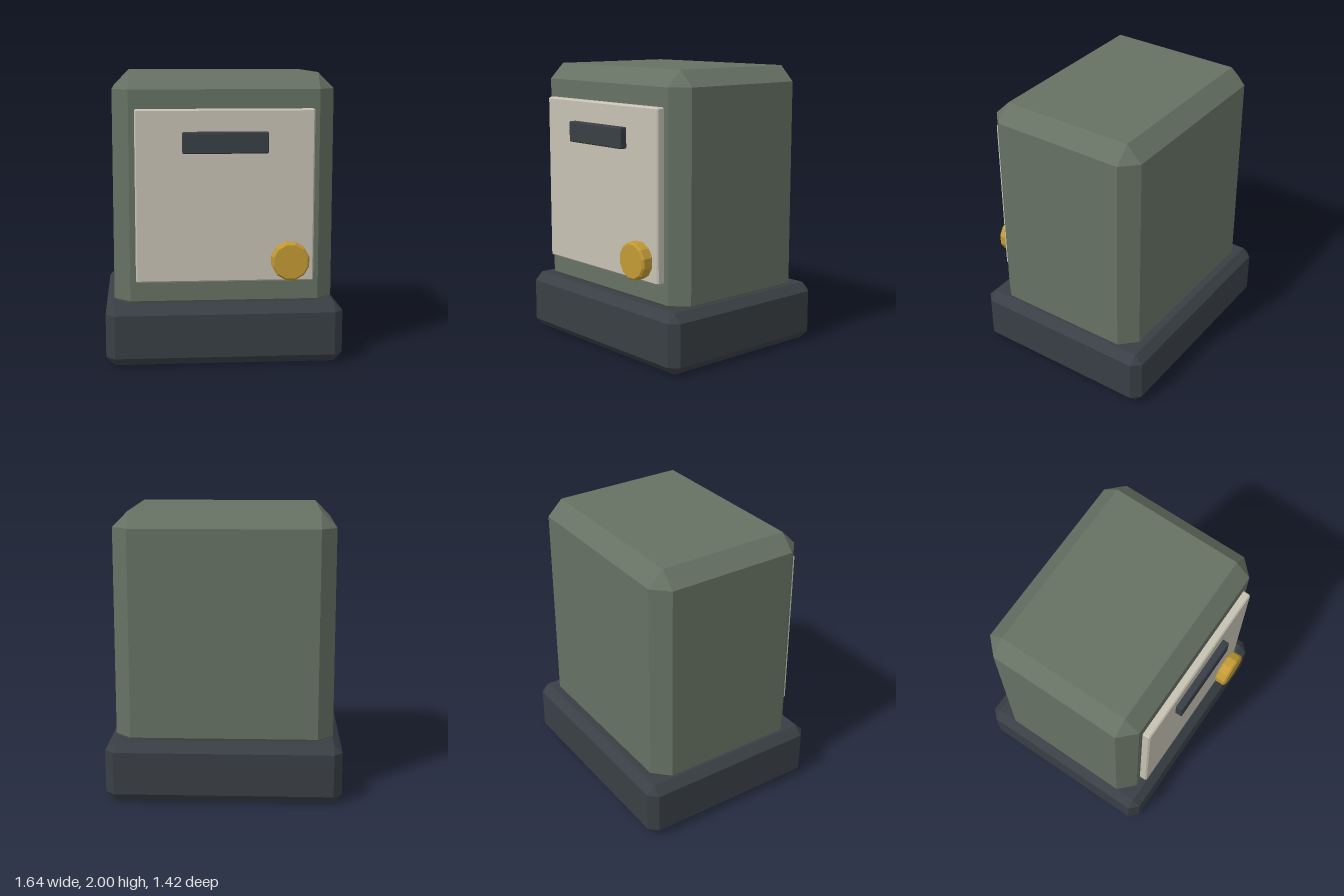
import * as THREE from 'three';
import { ConvexGeometry } from 'three/addons/geometries/ConvexGeometry.js';

const material = (color) => new THREE.MeshStandardMaterial({ color, flatShading: true });
const green = material(0x667163);
const dark = material(0x393f45);
const cream = material(0xc6c1b3);
const brass = material(0xc29a35);

// Box between two corners with every edge cut by a flat chamfer
function chamferBox(name, min, max, bevel, mat) {
  const half = max.map((v, i) => (v - min[i]) / 2);
  const points = [];
  for (const sx of [-1, 1]) for (const sy of [-1, 1]) for (const sz of [-1, 1]) {
    const signs = [sx, sy, sz];
    for (let axis = 0; axis < 3; axis++) {
      points.push(new THREE.Vector3(...signs.map((s, i) => s * (half[i] - (i === axis ? 0 : bevel)))));
    }
  }
  const mesh = new THREE.Mesh(new ConvexGeometry(points), mat);
  mesh.position.set(...min.map((v, i) => (v + max[i]) / 2));
  mesh.name = name;
  return mesh;
}

export function createModel() {
  const model = new THREE.Group();
  model.name = 'cabinet';

  // Plinth and main housing, whose lower chamfer sinks into the plinth
  model.add(chamferBox('base', [-0.82, 0, -0.71], [0.82, 0.42, 0.665], 0.06, dark));
  model.add(chamferBox('body', [-0.76, 0.33, -0.61], [0.76, 2, 0.565], 0.11, green));

  // Front panel with its slot plate
  model.add(chamferBox('frontPanel', [-0.61, 0.58, 0.55], [0.61, 1.76, 0.62], 0.01, cream));
  model.add(chamferBox('slotPlate', [-0.29, 1.465, 0.6], [0.29, 1.61, 0.67], 0.007, dark));

  // Twelve-sided knob with bevelled rims, turned to face the front
  const profile = [[0, -0.045], [0.118, -0.045], [0.131, -0.033], [0.131, 0.033], [0.118, 0.045], [0, 0.045]]
    .map(([r, h]) => new THREE.Vector2(r, h));
  const knobGeometry = new THREE.LatheGeometry(profile, 12, Math.PI / 12);
  knobGeometry.rotateX(Math.PI / 2);
  const knob = new THREE.Mesh(knobGeometry, brass);
  knob.name = 'knob';
  knob.position.set(0.44, 0.73, 0.665);
  model.add(knob);

  return model;
}
